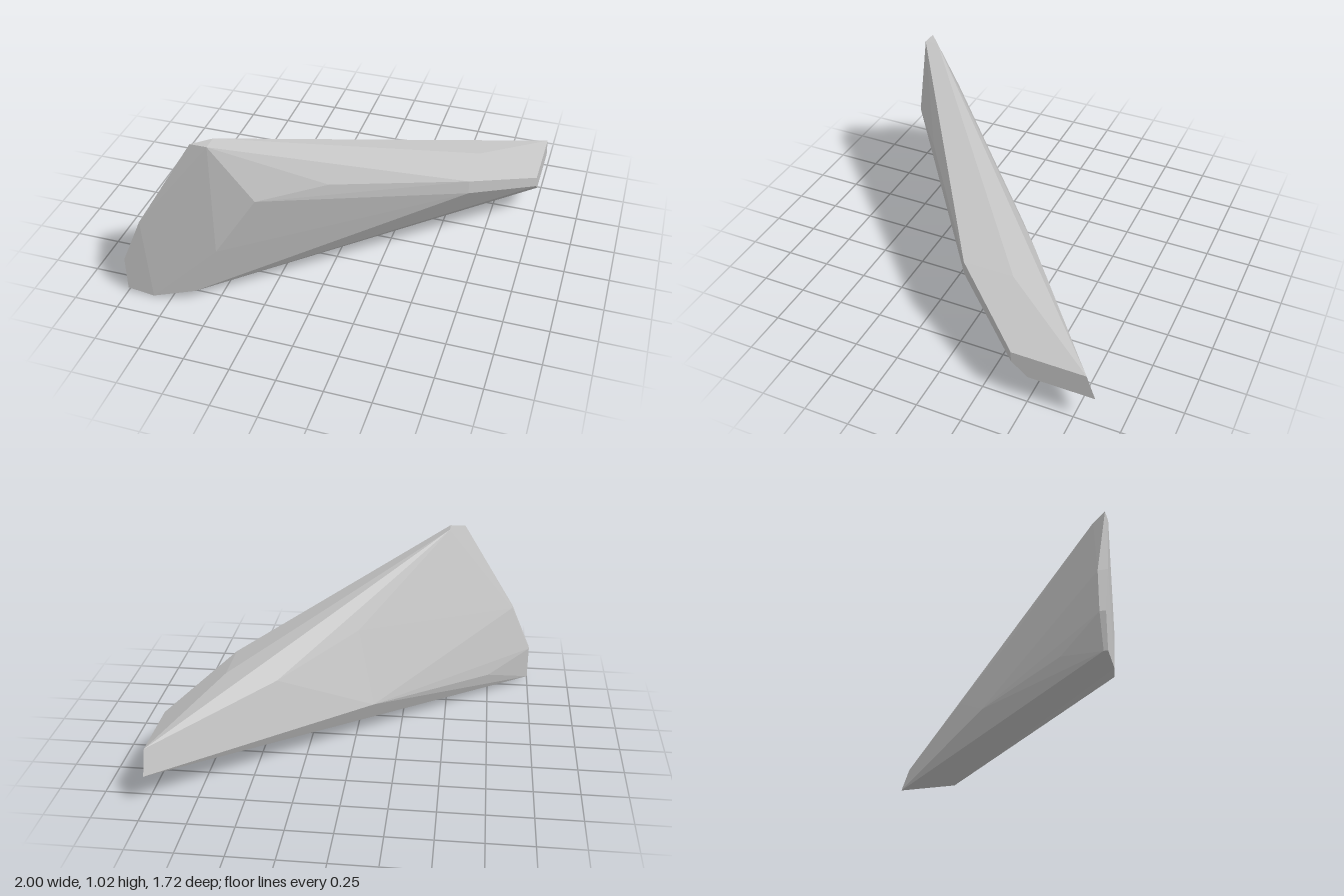
import * as THREE from 'three';
import { ConvexGeometry } from 'three/addons/geometries/ConvexGeometry.js';

export function createModel() {
  const stone = new THREE.MeshStandardMaterial({ color: 0xc3c3c3 });
  stone.name = 'light grey stone';

  // Corners of the faceted slab
  const corners = [
    // small flat peak
    [-0.57, 1.02, 0.81], [-0.48, 1.02, 0.81], [-0.48, 1.02, 0.73],
    // blunt tall end
    [-0.88, 0.5, 0.86], [-0.88, 0.5, 0.81], [-1, 0.22, 0.86], [-1, 0.22, 0.83],
    [-1, 0.02, 0.86], [-1, 0.02, 0.84], [-0.85, 0, 0.86],
    // front face
    [-0.48, 0.36, 0.81], [-0.62, 0.06, 0.82], [-0.27, 0.69, 0.75],
    [0.04, 0.69, 0.5], [0.68, 0.42, 0],
    // shoulder on the sloping top
    [0.68, 0.5, 0], [0.68, 0.5, -0.28],
    // back face bulges
    [0, 0.61, 0.12], [0.4, 0.47, -0.28], [-0.1, 0.2, 0.01], [-0.75, 0.14, 0.59],
    // cut narrow end
    [1, 0.31, -0.41], [1, 0.25, -0.41], [1, 0.175, -0.5], [1, 0.175, -0.86], [1, 0.31, -0.81],
  ].map((p) => new THREE.Vector3(...p));

  const slab = new THREE.Mesh(new ConvexGeometry(corners), stone);
  slab.name = 'rockSlab';

  const group = new THREE.Group();
  group.name = 'rock';
  group.add(slab);
  return group;
}
